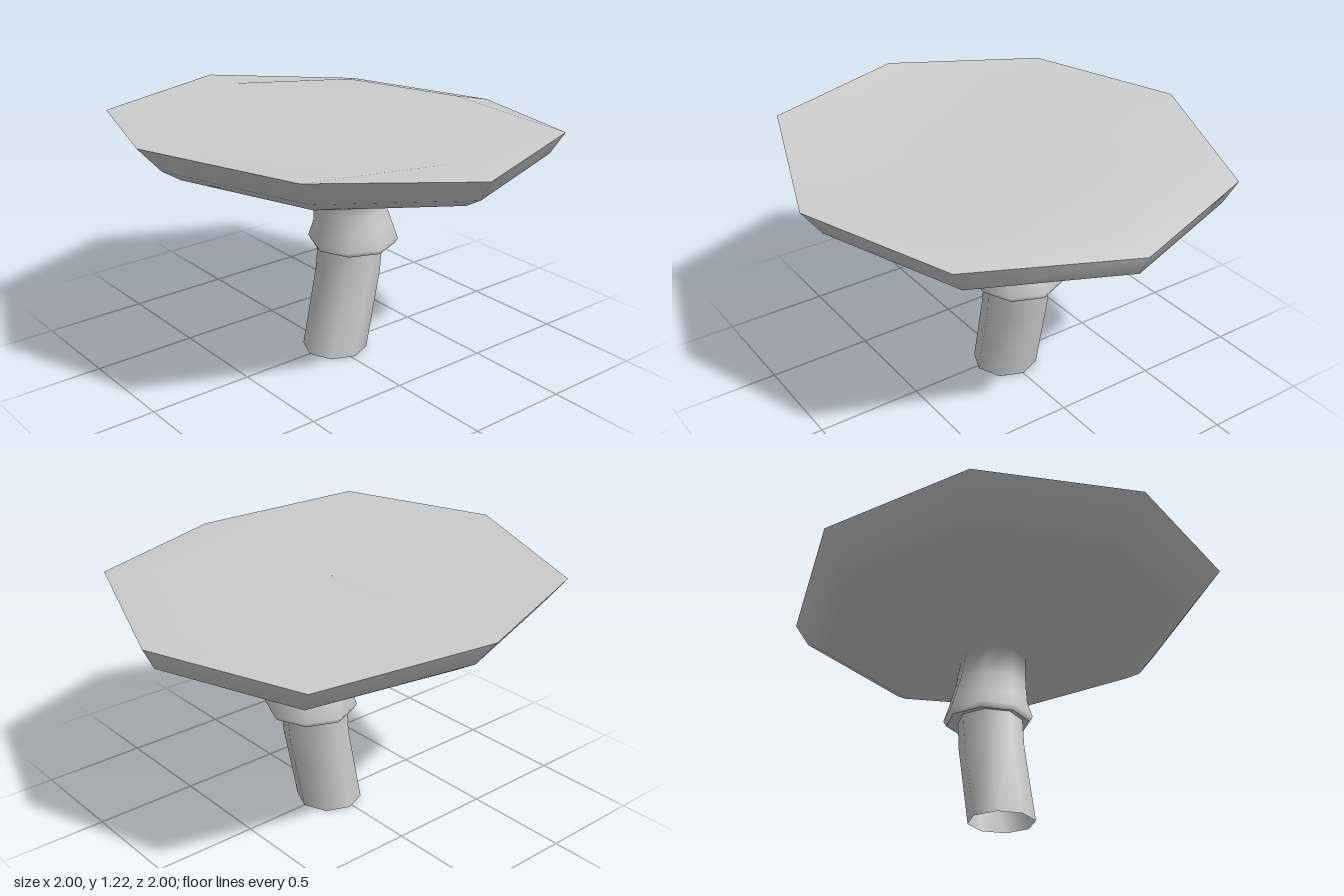
import * as THREE from 'three';

const SIDES = 8;
const MEAN = 1.14;
// Rim heights, starting at +x and turning towards +z
const RIM = [1.07, 1.125, 1.13, 1.215, 1.215, 1.16, 1.155, 1.07];

// Eight-sided ring; `tilt` is how far it follows the uneven rim, `diag` widens its diagonals
function ring(r, cx, y, tilt = 0, diag = 1) {
  return RIM.map((h, j) => {
    const a = (j / SIDES) * Math.PI * 2;
    const k = r * (j % 2 ? diag : 1);
    return [cx + k * Math.cos(a), y + tilt * (h - MEAN), k * Math.sin(a)];
  });
}

// Smooth skin through rings listed from bottom to top
function loft(name, rings, material) {
  const index = [];
  for (let i = 0; i < rings.length - 1; i++) {
    for (let j = 0; j < SIDES; j++) {
      const k = (j + 1) % SIDES;
      const a = i * SIDES + j, b = i * SIDES + k;
      const c = a + SIDES, d = b + SIDES;
      index.push(a, c, b, b, c, d);
    }
  }
  const geometry = new THREE.BufferGeometry();
  geometry.setAttribute('position', new THREE.Float32BufferAttribute(rings.flat(2), 3));
  geometry.setIndex(index);
  geometry.computeVertexNormals();
  const mesh = new THREE.Mesh(geometry, material);
  mesh.name = name;
  return mesh;
}

export function createModel() {
  const group = new THREE.Group();
  group.name = 'mushroom';
  const material = new THREE.MeshStandardMaterial({ color: 0xcccccc, side: THREE.DoubleSide });
  const rim = ring(1, 0, MEAN, 1, 1.046);

  // Bent stem, open at the foot
  group.add(loft('stem', [
    ring(0.155, 0.02, 0),
    ring(0.155, 0.1, 0.385),
    ring(0.155, 0.112, 0.525),
  ], material));

  // Flat lower face of the collar around the stem
  group.add(loft('collarBase', [
    ring(0.155, 0.112, 0.525),
    ring(0.2, 0.13, 0.52),
  ], material));

  // Collar flowing through the neck into the underside of the cap
  group.add(loft('collarAndCapUnderside', [
    ring(0.2, 0.13, 0.52),
    ring(0.215, 0.13, 0.545),
    ring(0.19, 0.13, 0.62),
    ring(0.172, 0.112, 0.71),
    ring(0.157, 0.09, 0.845),
    ring(0.52, 0.1, 0.9, 0.17, 1.03),
    ring(0.835, 0.035, 0.98, 0.75, 1.046),
    ring(0.92, 0.03, 1.03, 0.85, 1.046),
    rim,
  ], material));

  // Gently uneven top of the cap
  group.add(loft('capTop', [
    rim,
    ring(0.78, 0, 1.15, 0.35, 1.046),
    ring(0.4, 0, 1.145, 0.15, 1.03),
    ring(0.001, 0, 1.14),
  ], material));

  return group;
}
